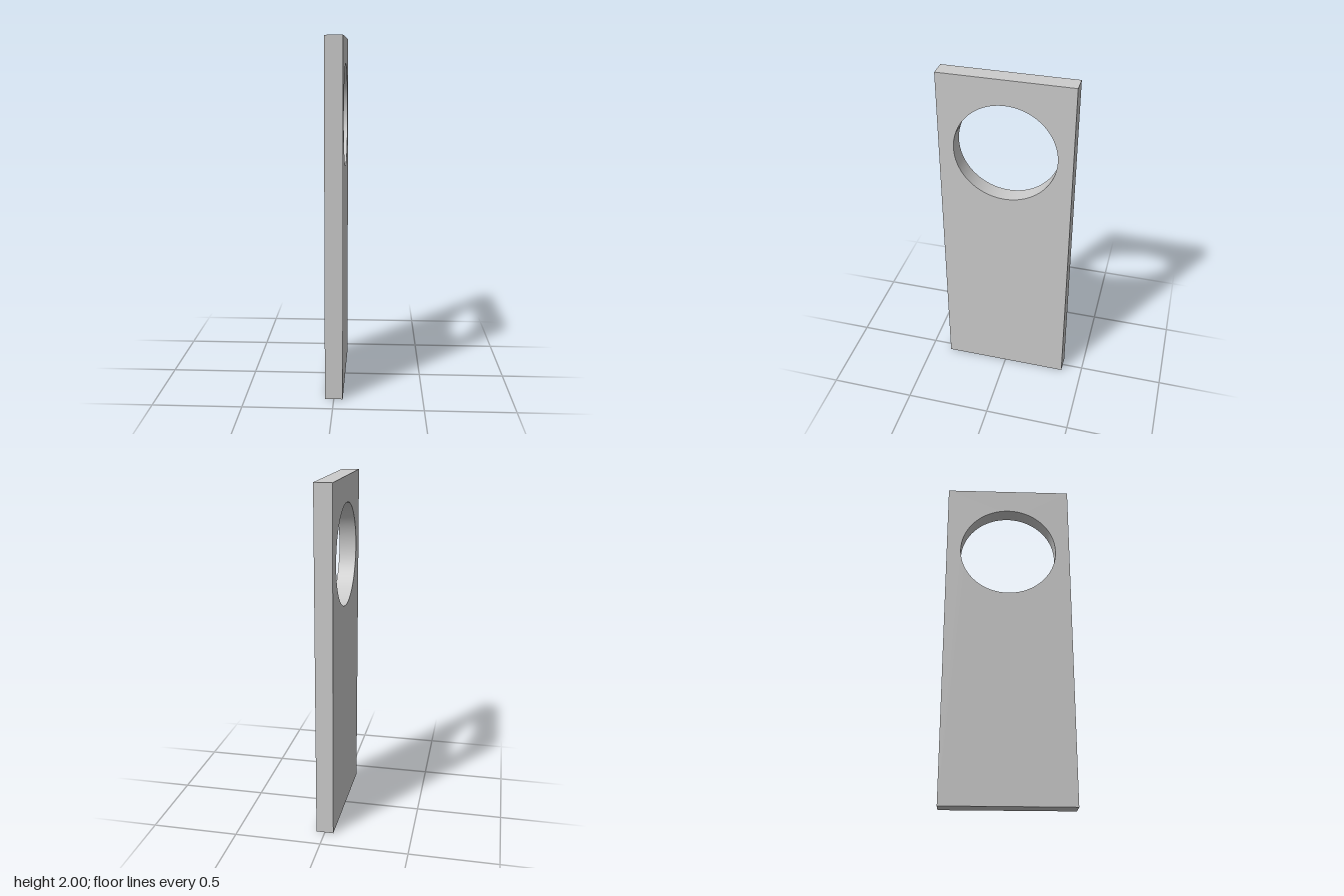
import * as THREE from 'three';
import { toCreasedNormals } from 'three/addons/utils/BufferGeometryUtils.js';

const HEIGHT = 2, WIDTH = 0.75, THICKNESS = 0.1;
const HOLE_Y = 1.565, HOLE_RADIUS = 0.29;

export function createModel() {
  const group = new THREE.Group();
  group.name = 'hangTag';

  // Rectangular outline with a round hole near the top
  const w = WIDTH / 2;
  const outline = new THREE.Shape([
    new THREE.Vector2(-w, 0),
    new THREE.Vector2(w, 0),
    new THREE.Vector2(w, HEIGHT),
    new THREE.Vector2(-w, HEIGHT),
  ]);
  const hole = new THREE.Path();
  hole.absarc(0, HOLE_Y, HOLE_RADIUS, 0, Math.PI * 2, true);
  outline.holes.push(hole);

  // Extrude, centre the thickness, then turn the broad faces towards +x and -x
  const geometry = new THREE.ExtrudeGeometry(outline, {
    depth: THICKNESS, bevelEnabled: false, curveSegments: 48,
  });
  geometry.translate(0, 0, -THICKNESS / 2);
  geometry.rotateY(Math.PI / 2);

  // Smooth hole wall, sharp plate edges
  const plate = new THREE.Mesh(
    toCreasedNormals(geometry, 0.6),
    new THREE.MeshStandardMaterial({ color: 0xcccccc }),
  );
  plate.name = 'plateWithHole';
  group.add(plate);

  return group;
}
